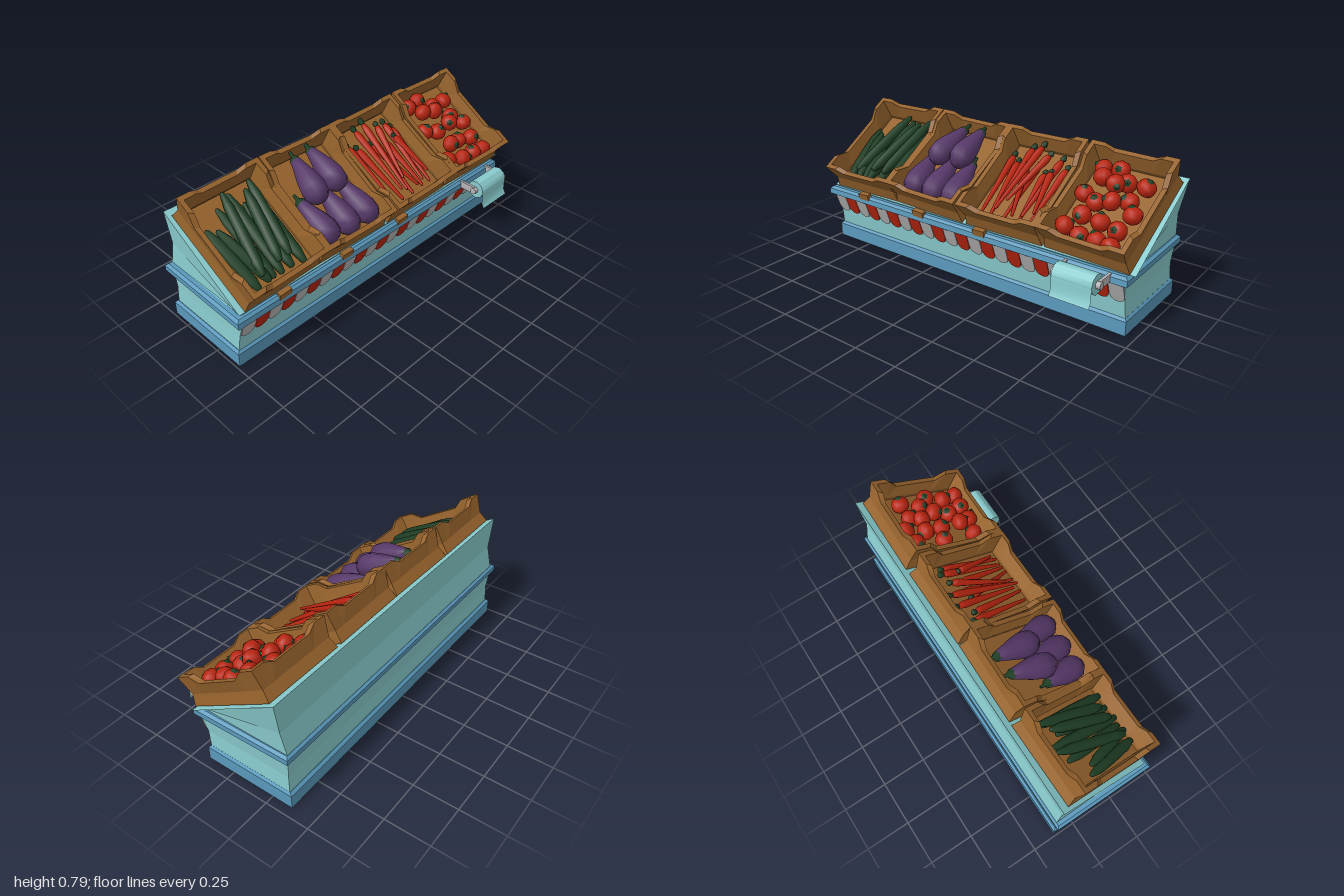
import * as THREE from 'three';

const mat = (name, color, side = THREE.FrontSide) => {
  const m = new THREE.MeshStandardMaterial({ color, side });
  m.name = name;
  return m;
};

// Joins rings of equal length (counterclockwise from above, bottom to top) with flat faces
function loft(rings, closed = false) {
  const pos = [];
  const last = closed ? rings.length : rings.length - 1;
  for (let k = 0; k < last; k++) {
    const r0 = rings[k], r1 = rings[(k + 1) % rings.length];
    for (let i = 0; i < r0.length; i++) {
      const j = (i + 1) % r0.length;
      pos.push(...r0[i], ...r0[j], ...r1[j], ...r0[i], ...r1[j], ...r1[i]);
    }
  }
  const g = new THREE.BufferGeometry();
  g.setAttribute('position', new THREE.Float32BufferAttribute(pos, 3));
  g.computeVertexNormals();
  return g;
}

// Rectangular ring; front and back edges may differ in height
const rect = (x0, x1, zf, zb, yf, yb = yf) =>
  [[x0, yf, zf], [x1, yf, zf], [x1, yb, zb], [x0, yb, zb]];

const ANGLE = 0.543, FRONT_Y = 0.345, FRONT_Z = 0.19;
// Point on the sloped display from plan x, z and height n above the slope
const onSlope = (x, z, n) => new THREE.Vector3(
  x, n, -(FRONT_Z + Math.sin(ANGLE) * n - z) / Math.cos(ANGLE));

// Crate with waisted walls and dipped rims
function crateGeometry() {
  const hw = 0.234, hl = 0.29;
  const corners = [[-1, 1], [1, 1], [1, -1], [-1, -1]];
  const ring = (off, n, rim = false) => {
    const pts = [];
    corners.forEach(([ax, az], s) => {
      const [bx, bz] = corners[(s + 1) % 4];
      [0, 0.15, 0.26, 0.74, 0.85].forEach((t, i) => {
        const dip = i === 2 || i === 3 ? (s % 2 ? 0.04 : 0.028) : 0;
        pts.push([(ax + (bx - ax) * t) * (hw + off), rim ? n - dip : n,
          (az + (bz - az) * t) * (hl + off)]);
      });
    });
    return pts;
  };
  const centre = (n) => ring(0, n).map(() => [0, n, 0]);
  return loft([centre(0), ring(0, 0), ring(-0.012, 0.06), ring(0.006, 0.164, true),
    ring(-0.02, 0.164, true), ring(-0.036, 0.06), ring(-0.03, 0.035), centre(0.035)]);
}

// Lathe of unit length; profile entries are [radius, position along length]
const turned = (profile, sides) =>
  new THREE.LatheGeometry(profile.map(([r, t]) => new THREE.Vector2(r, t)), sides);

export function createModel() {
  const model = new THREE.Group();
  model.name = 'marketStand';
  const teal = mat('teal paint', 0x8accce, THREE.DoubleSide);
  const blue = mat('blue trim', 0x5a99bc);
  const wood = mat('brown wood', 0x95622c);
  const red = mat('red', 0xb8240f);
  const grey = mat('light grey', 0xb6b4b6);
  const green = mat('dark green', 0x1f3f25);
  const purple = mat('aubergine purple', 0x553767);

  const add = (parent, name, geometry, material, x = 0, y = 0, z = 0) => {
    const m = new THREE.Mesh(geometry, material);
    m.name = name;
    m.position.set(x, y, z);
    parent.add(m);
    return m;
  };

  // Hollow cabinet
  add(model, 'lowerBody', loft([
    rect(-0.97, 0.94, 0.15, -0.352, 0.08), rect(-0.965, 0.935, 0.162, -0.345, 0.18),
    rect(-0.965, 0.945, 0.198, -0.357, 0.29)]), teal);
  add(model, 'upperBody', loft([
    rect(-0.965, 0.945, 0.19, -0.357, 0.338), rect(-0.958, 0.955, 0.19, -0.33, 0.34, 0.47),
    rect(-0.972, 0.993, 0.19, -0.34, 0.342, 0.66)]), teal);
  const top = rect(-0.972, 0.993, 0.19, -0.34, 0.342, 0.66);
  add(model, 'slopedTop', loft([top, top.map(() => [0, 0.501, -0.075])]), teal);

  // Plinth and middle band, both hollow rings with chamfers
  add(model, 'plinth', loft([
    rect(-0.985, 0.95, 0.163, -0.368, 0), rect(-0.985, 0.95, 0.163, -0.368, 0.076),
    rect(-0.972, 0.94, 0.15, -0.354, 0.09), rect(-0.93, 0.9, 0.11, -0.31, 0.09),
    rect(-0.93, 0.9, 0.11, -0.31, 0)], true), blue);
  add(model, 'middleBand', loft([
    rect(-0.975, 0.945, 0.198, -0.357, 0.276, 0.284),
    rect(-1, 0.965, 0.216, -0.371, 0.287, 0.3),
    rect(-1, 0.965, 0.213, -0.371, 0.318, 0.33), rect(-0.985, 0.95, 0.2, -0.358, 0.332, 0.341),
    rect(-0.93, 0.91, 0.15, -0.31, 0.332, 0.341),
    rect(-0.93, 0.91, 0.15, -0.31, 0.276, 0.284)], true), blue);

  // Scalloped bunting
  const flag = new THREE.Shape();
  flag.moveTo(-0.04, 0);
  flag.lineTo(-0.04, -0.075);
  flag.quadraticCurveTo(-0.036, -0.118, 0, -0.118);
  flag.quadraticCurveTo(0.036, -0.118, 0.04, -0.075);
  flag.lineTo(0.04, 0);
  const flagGeo = new THREE.ExtrudeGeometry(flag, { depth: 0.005, bevelEnabled: false, curveSegments: 4 });
  for (let i = 0; i < 23; i++) {
    add(model, 'buntingFlag', flagGeo, i % 2 ? red : grey, -0.925 + i * 0.083, 0.289, 0.202)
      .rotation.x = 0.335;
  }

  // Wooden stops below the crates
  [[-0.715, 0.05], [-0.3, -0.04], [0.115, 0.03]].forEach(([x, r]) => {
    add(model, 'crateStop', new THREE.BoxGeometry(0.072, 0.035, 0.03), wood, x, 0.33, 0.205)
      .rotation.set(0.2, 0, r);
  });

  // Roll holder: rod, arms, roll and hanging sheet
  const rod = (name, r, len, sides, material) => {
    add(model, name, new THREE.CylinderGeometry(r, r, len, sides), material, 0.753, 0.31, 0.303)
      .rotation.z = Math.PI / 2;
  };
  rod('rollRod', 0.02, 0.262, 10, grey);
  rod('paperRoll', 0.054, 0.215, 9, teal);
  [0.636, 0.87].forEach((x) => {
    add(model, 'rollArm', new THREE.BoxGeometry(0.014, 0.042, 0.11), grey, x, 0.31, 0.25);
  });
  const sheet = new THREE.PlaneGeometry(0.215, 1, 1, 4);
  const sheetPath = [[0.325, 0.36], [0.354, 0.33], [0.356, 0.29], [0.357, 0.24], [0.373, 0.21]];
  for (let i = 0; i < sheet.attributes.position.count; i++) {
    const [z, y] = sheetPath[Math.floor(i / 2)];
    sheet.attributes.position.setY(i, y);
    sheet.attributes.position.setZ(i, z);
  }
  sheet.computeVertexNormals();
  add(model, 'hangingSheet', sheet, teal, 0.753);

  // Sloped display: local y is away from the slope, local -z is uphill
  const display = new THREE.Group();
  display.name = 'slopedDisplay';
  display.position.set(0, FRONT_Y, FRONT_Z);
  display.rotation.x = ANGLE;
  model.add(display);

  const crateGeo = crateGeometry();
  [[-0.712, 0.02], [-0.236, -0.018], [0.248, 0.012], [0.736, -0.02]].forEach(([x, yaw]) => {
    add(display, 'crate', crateGeo, wood, x, 0.002, -0.292).rotation.y = yaw;
  });

  // Places a turned piece from its lower end a to its uphill end b, each [x, z, n]
  const lay = (name, geometry, material, a, b) => {
    const p = onSlope(...a), d = onSlope(...b).sub(p);
    const m = add(display, name, geometry, material, p.x, p.y, p.z);
    m.scale.y = d.length();
    m.quaternion.setFromUnitVectors(new THREE.Vector3(0, 1, 0), d.normalize());
  };

  // Cucumbers
  const cucumber = turned([[0, 0], [0.016, 0.02], [0.028, 0.15], [0.03, 0.5], [0.027, 0.8],
    [0.013, 0.97], [0, 1]], 8);
  [[-0.84, 0.19, -0.89, -0.13, 0.06], [-0.775, 0.19, -0.85, -0.1, 0.07], [-0.74, 0.18, -0.78, -0.19, 0.06],
    [-0.8, 0.17, -0.72, -0.22, 0.09], [-0.7, 0.19, -0.69, -0.22, 0.07], [-0.69, 0.16, -0.61, -0.18, 0.1],
    [-0.63, 0.18, -0.64, -0.16, 0.06], [-0.62, 0.15, -0.56, -0.22, 0.09], [-0.56, 0.19, -0.57, -0.2, 0.06]]
    .forEach(([x0, z0, x1, z1, n]) => lay('cucumber', cucumber, green, [x0, z0, n], [x1, z1, n + 0.01]));

  // Aubergines with green stalks
  const aubergine = turned([[0, 0], [0.038, 0.03], [0.064, 0.14], [0.07, 0.3], [0.06, 0.5],
    [0.042, 0.72], [0.028, 0.9], [0, 1]], 10);
  const stalk = turned([[0.03, 0.87], [0.026, 0.95], [0.011, 1], [0.008, 1.1], [0, 1.1]], 6);
  [[-0.365, 0.2, -0.39, -0.05, 0.085, 0.08], [-0.235, 0.21, -0.24, -0.06, 0.085, 0.08],
    [-0.095, 0.21, -0.12, -0.06, 0.085, 0.08], [-0.32, 0.06, -0.28, -0.2, 0.14, 0.12],
    [-0.17, 0.05, -0.17, -0.21, 0.14, 0.12]].forEach(([x0, z0, x1, z1, n0, n1]) => {
    lay('aubergine', aubergine, purple, [x0, z0, n0], [x1, z1, n1]);
    lay('aubergineStalk', stalk, green, [x0, z0, n0], [x1, z1, n1]);
  });

  // Carrots with leafy tops
  const carrot = turned([[0, 0], [0.008, 0.02], [0.015, 0.5], [0.021, 0.9], [0.015, 0.98], [0, 1]], 7);
  const leaves = turned([[0.006, 0.97], [0.018, 1.03], [0.012, 1.07], [0, 1.09]], 5);
  [[0.1, 0.17, 0.075, -0.16, 0.06], [0.16, 0.18, 0.12, -0.13, 0.06], [0.18, 0.15, 0.17, -0.2, 0.08],
    [0.19, 0.18, 0.23, -0.2, 0.1], [0.24, 0.18, 0.25, -0.14, 0.06], [0.22, 0.12, 0.3, -0.16, 0.1],
    [0.29, 0.17, 0.2, -0.1, 0.08], [0.33, 0.17, 0.31, -0.1, 0.06], [0.34, 0.16, 0.37, -0.17, 0.08],
    [0.39, 0.17, 0.41, -0.15, 0.06], [0.4, 0.14, 0.36, -0.08, 0.09]].forEach(([x0, z0, x1, z1, n]) => {
    lay('carrot', carrot, red, [x0, z0, n], [x1, z1, n + 0.01]);
    lay('carrotTop', leaves, green, [x0, z0, n], [x1, z1, n + 0.01]);
  });

  // Tomatoes with tilted calyxes
  const tomato = new THREE.SphereGeometry(0.05, 10, 7).scale(1, 0.9, 1);
  const calyx = new THREE.ConeGeometry(0.02, 0.014, 5).translate(0, 0.049, 0);
  [[0.6, -0.19], [0.69, -0.2], [0.64, -0.11, 1], [0.76, -0.14], [0.86, -0.14], [0.58, -0.04], [0.72, -0.09, 1],
    [0.82, -0.05], [0.66, -0.01], [0.75, 0.0, 1], [0.87, 0.01], [0.74, 0.08], [0.84, 0.1], [0.58, 0.14],
    [0.65, 0.1, 1], [0.68, 0.17], [0.77, 0.17], [0.85, 0.18]].forEach(([x, z, upper = 0], i) => {
    const fruit = new THREE.Group();
    fruit.name = 'tomatoWithCalyx';
    fruit.position.copy(onSlope(x, z, 0.082 + upper * 0.03));
    fruit.rotation.set(0.9 * Math.sin(i * 2.3), i, 0.9 * Math.cos(i * 1.7));
    add(fruit, 'tomato', tomato, red);
    add(fruit, 'tomatoCalyx', calyx, green);
    display.add(fruit);
  });

  return model;
}
